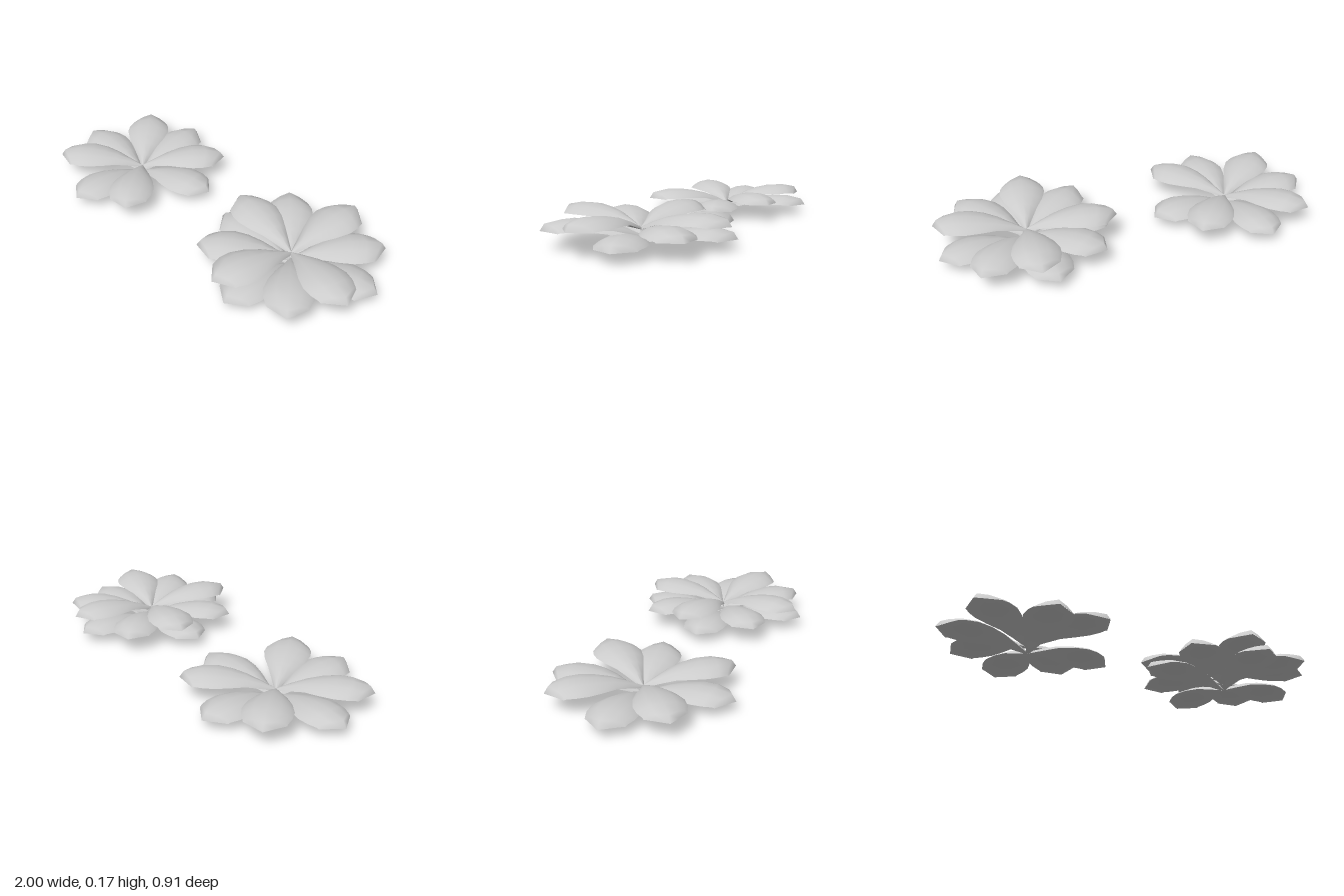
import * as THREE from 'three';
import { mergeGeometries } from 'three/addons/utils/BufferGeometryUtils.js';

// Petal stations along its length:
// [distance, half width, edge height, crest height, underside height, pointed bulge]
const STATIONS = [
  [0.0, 0.006, 0.0, 0.012, 0.0, 0],
  [0.07, 0.036, 0.024, 0.046, 0.022, 0],
  [0.14, 0.067, 0.046, 0.072, 0.05, 0],
  [0.21, 0.098, 0.054, 0.088, 0.062, 0],
  [0.28, 0.116, 0.057, 0.098, 0.068, 0],
  [0.335, 0.112, 0.056, 0.098, 0.068, 0.02],
  [0.376, 0.098, 0.053, 0.082, 0.06, 0.058],
  [0.386, 0.095, 0.049, 0.05, 0.049, 0.069],
];
const ACROSS = [-1, -0.85, -0.5, 0, 0.5, 0.85, 1];

// One skin of the petal: the domed top or the hollow underside
function petalSkin(top) {
  const pos = [], idx = [], n = ACROSS.length;
  for (const [r, w, edge, crest, under, bulge] of STATIONS) {
    for (const u of ACROSS) {
      const mid = top ? crest : under;
      const arch = 1 - Math.pow(Math.abs(u), 2.3);
      pos.push(r + bulge * (1 - Math.abs(u)), edge + (mid - edge) * arch, w * u);
    }
  }
  for (let i = 0; i < STATIONS.length - 1; i++) {
    for (let j = 0; j < n - 1; j++) {
      const a = i * n + j, b = a + 1, c = a + n, d = c + 1;
      if (top) idx.push(a, b, c, b, d, c);
      else idx.push(a, c, b, b, c, d);
    }
  }
  const g = new THREE.BufferGeometry();
  g.setAttribute('position', new THREE.Float32BufferAttribute(pos, 3));
  g.setIndex(idx);
  g.computeVertexNormals();
  return g;
}

// Petal directions in degrees for each layer, from +x towards +z
const LAYERS = [
  { name: 'lowerPetals', angles: [-10.7, 90, 179, 265] },
  { name: 'middlePetals', angles: [-49, 51, 140.4, 227.2] },
  { name: 'topPetals', angles: [16.5, 101, 191.5, 275] },
];
const LAYER_STEP = 0.034;

export function createModel() {
  const model = new THREE.Group();
  model.name = 'flowers';
  const material = new THREE.MeshStandardMaterial({ color: 0xcccccc });
  const petal = mergeGeometries([petalSkin(true), petalSkin(false)]);

  function flower(name, x, layerCount) {
    const group = new THREE.Group();
    group.name = name;
    group.position.x = x;
    LAYERS.slice(0, layerCount).forEach((layer, level) => {
      const ring = new THREE.Group();
      ring.name = layer.name;
      ring.position.y = level * LAYER_STEP;
      for (const angle of layer.angles) {
        const mesh = new THREE.Mesh(petal, material);
        mesh.name = 'petal';
        mesh.rotation.y = -THREE.MathUtils.degToRad(angle);
        ring.add(mesh);
      }
      group.add(ring);
    });
    model.add(group);
  }

  flower('doubleFlower', -0.55, 2);
  flower('tripleFlower', 0.55, 3);
  return model;
}
